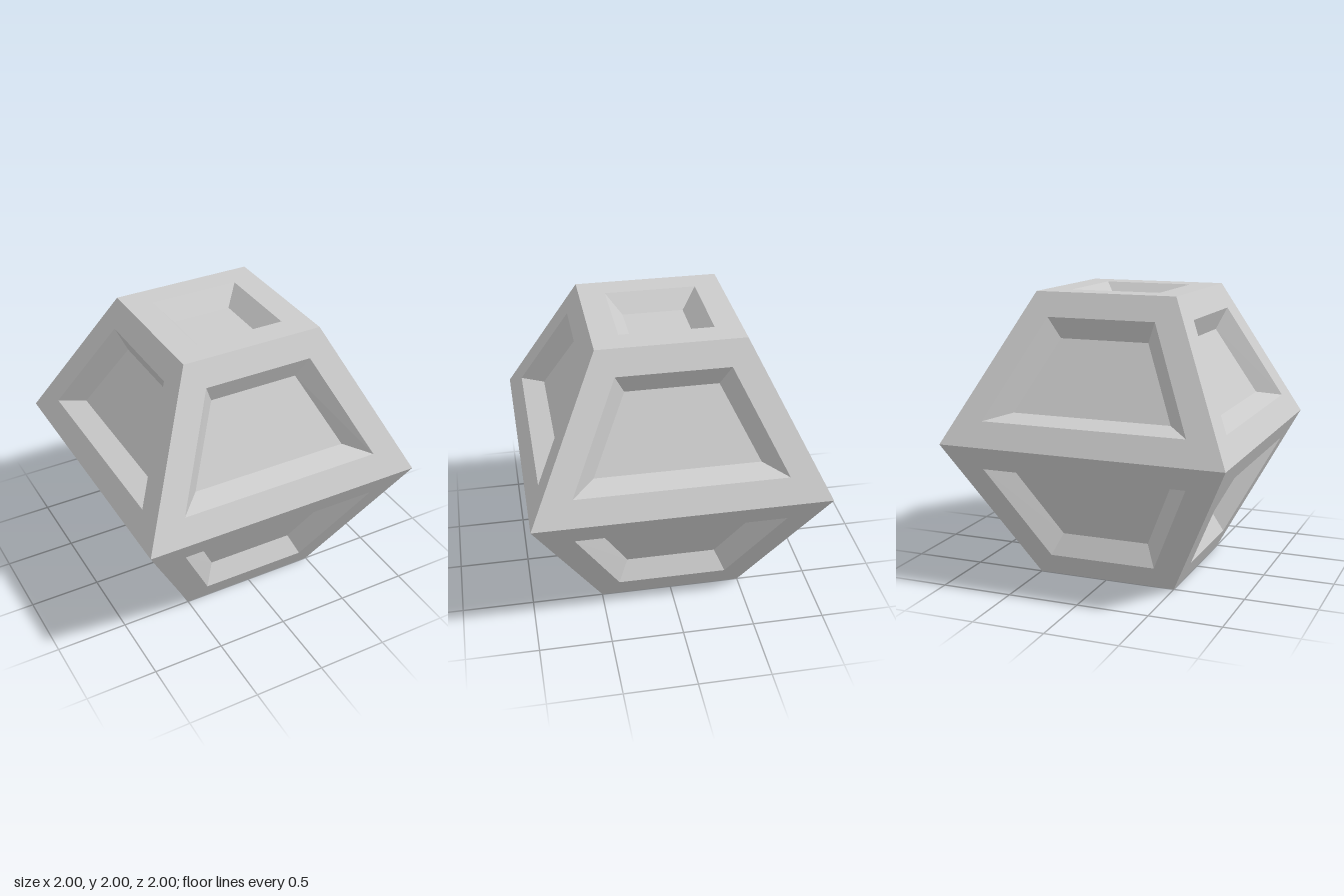
import * as THREE from 'three';

const material = new THREE.MeshStandardMaterial({ color: 0xcccccc, flatShading: true });

// Four corners, counter-clockwise from outside, from two edges mirrored in x.
// Each edge is [half width, y, z].
const ring = ([w0, y0, z0], [w1, y1, z1]) => [[-w0, y0, z0], [w0, y0, z0], [w1, y1, z1], [-w1, y1, z1]];

// A panel: flat frame, sloping recess walls and a flat floor.
function panelGeometry(outer, opening, floor) {
  const positions = [];
  const quad = (a, b, c, d) => positions.push(...a, ...b, ...c, ...a, ...c, ...d);
  for (const [a, b] of [[outer, opening], [opening, floor]]) {
    for (let i = 0; i < 4; i++) {
      const j = (i + 1) % 4;
      quad(a[i], a[j], b[j], b[i]);
    }
  }
  quad(...floor);
  const geometry = new THREE.BufferGeometry();
  geometry.setAttribute('position', new THREE.Float32BufferAttribute(positions, 3));
  geometry.computeVertexNormals();
  return geometry;
}

// Horizontal square at height y.
const square = (h, y) => ring([h, y, h], [h, y, -h]);

export function createModel() {
  const model = new THREE.Group();
  model.name = 'panelledSolid';

  const sideGeometry = panelGeometry(
    ring([1, 0, 1], [0.5, 1, 0.5]),
    ring([0.717, 0.165, 0.9175], [0.383, 0.838, 0.581]),
    ring([0.56, 0.205, 0.76], [0.315, 0.69, 0.5175])
  );
  const capGeometry = panelGeometry(square(0.5, 1), square(0.318, 1), square(0.212, 0.877));

  // Two identical halves, the lower one turned over.
  for (const half of ['upper', 'lower']) {
    const group = new THREE.Group();
    group.name = half + 'Half';
    group.position.y = 1;
    if (half === 'lower') group.rotation.x = Math.PI;

    const cap = new THREE.Mesh(capGeometry, material);
    cap.name = half + 'SquarePanel';
    group.add(cap);

    for (let i = 0; i < 4; i++) {
      const side = new THREE.Mesh(sideGeometry, material);
      side.name = half + 'SidePanel' + (i + 1);
      side.rotation.y = i * Math.PI / 2;
      group.add(side);
    }
    model.add(group);
  }
  return model;
}
